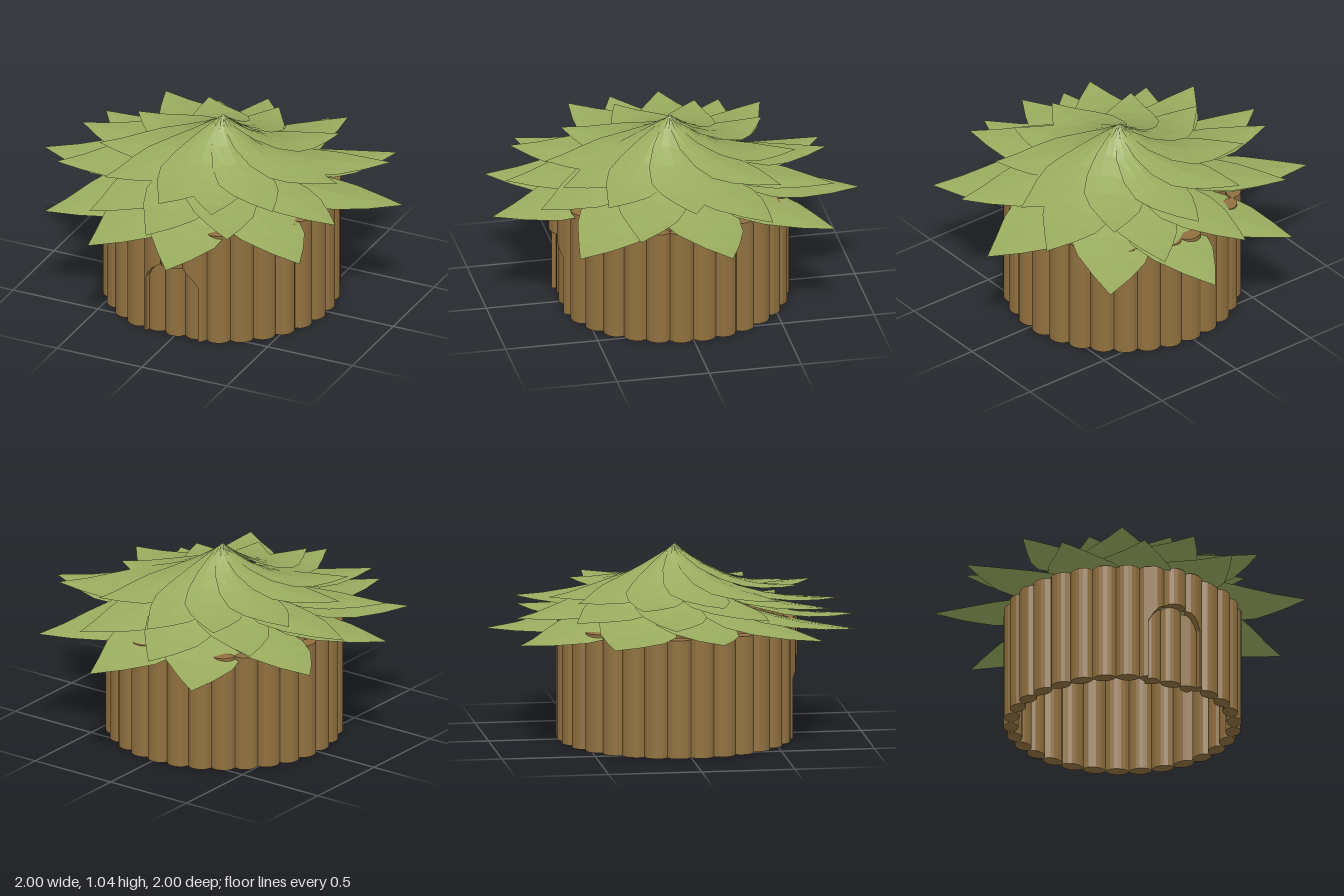
import * as THREE from 'three';

const wood = new THREE.MeshStandardMaterial({ color: 0x90703f, flatShading: true });
const leafMat = new THREE.MeshStandardMaterial({ color: 0x9aac5f, flatShading: true, side: THREE.DoubleSide });

// Wall stations run round the ring, six to each log; the door spans 7 either side of +z
const LOGS = 30, STATIONS = LOGS * 6, DOOR = 7, WALL_TOP = 0.64;

// Ring sector of upright logs: a four-cornered section swept round the wall, ends closed
function logSector(name, from, to, offset, bottom, top) {
  const pos = [], index = [];
  for (let i = from; i <= to; i++) {
    const a = i / STATIONS * Math.PI * 2;
    const bulge = 0.034 * Math.pow(Math.abs(Math.cos(a * LOGS / 2)), 0.6);
    const out = 0.6 + bulge + offset(i), inn = 0.588 - bulge + offset(i);
    const x = Math.sin(a), z = Math.cos(a);
    const lo = bottom(x * 0.63), hi = top(x * 0.63);
    pos.push(x * out, lo, z * out, x * out, hi, z * out, x * inn, hi, z * inn, x * inn, lo, z * inn);
    if (i === from) continue;
    const b = (i - from) * 4, p = b - 4;
    for (let c = 0; c < 4; c++) {
      const d = (c + 1) % 4;
      index.push(p + c, b + c, b + d, p + c, b + d, p + d);
    }
  }
  const e = (to - from) * 4;
  index.push(0, 1, 2, 0, 2, 3, e, e + 2, e + 1, e, e + 3, e + 2);
  const geo = new THREE.BufferGeometry();
  geo.setAttribute('position', new THREE.Float32BufferAttribute(pos, 3));
  geo.setIndex(index);
  geo.computeVertexNormals();
  const mesh = new THREE.Mesh(geo, wood);
  mesh.name = name;
  return mesh;
}

// Height of the doorway arch across its width
const arch = x => 0.43 - 0.11 * Math.pow(Math.min(1, Math.abs(x) / 0.155), 3);

// Half-width of a leaf from stem (0) to tip (1), as a fraction of the widest place
const OUTLINE = [[0, 0.08], [0.1, 0.3], [0.22, 0.56], [0.38, 0.85], [0.54, 1], [0.68, 0.82], [0.84, 0.43], [1, 0]];

// Folded leaf sweeping from the roof peak to its tip, one edge lifted over its neighbour
function leaf(name, [tx, tz, ty], layer) {
  const length = Math.hypot(tx, tz), tipAngle = Math.atan2(tx, tz);
  const profile = r => layer.y + layer.rise * Math.pow(Math.max(0, 1 - r / layer.reach), layer.power);
  const pos = [], index = [], cols = 5;
  OUTLINE.forEach(([u, k], row) => {
    const a = tipAngle - 0.5 * (1 - u) ** 3;
    const s = u * length;
    for (let c = 0; c < cols; c++) {
      const w = (c / (cols - 1) * 2 - 1) * k * layer.width;
      const droop = (ty - profile(length)) * u;
      const y = profile(Math.hypot(s, w)) + droop - 0.05 * Math.abs(w) - (0.03 + 0.17 * (1 - u)) * w;
      pos.push(Math.sin(a) * s + Math.cos(a) * w, y, Math.cos(a) * s - Math.sin(a) * w);
      if (row && c) {
        const d = row * cols + c, b = d - cols;
        index.push(b - 1, d - 1, d, b - 1, d, b);
      }
    }
  });
  const geo = new THREE.BufferGeometry();
  geo.setAttribute('position', new THREE.Float32BufferAttribute(pos, 3));
  geo.setIndex(index);
  geo.computeVertexNormals();
  const mesh = new THREE.Mesh(geo, leafMat);
  mesh.name = name;
  return mesh;
}

// Leaf layers: tips as x, z, height
const LAYERS = [
  { name: 'lowerLeaf', y: 0.635, rise: 0.28, reach: 1, power: 2.2, width: 0.22, tips: [
    [0.14, -1, 0.585], [0.66, -0.76, 0.61], [1, -0.13, 0.665], [0.76, 0.65, 0.625], [0.14, 1, 0.61],
    [-0.35, 0.94, 0.62], [-0.72, 0.7, 0.63], [-1, 0.12, 0.68], [-0.91, -0.45, 0.65], [-0.46, -0.9, 0.6]] },
  { name: 'middleLeaf', y: 0.735, rise: 0.26, reach: 0.89, power: 2.4, width: 0.19, tips: [
    [0.34, -0.82, 0.72], [0.8, -0.39, 0.755], [0.82, 0.33, 0.72], [0.4, 0.79, 0.755], [-0.03, 0.89, 0.73],
    [-0.41, 0.79, 0.745], [-0.8, 0.39, 0.765], [-0.89, -0.12, 0.74], [-0.64, -0.62, 0.75], [-0.16, -0.88, 0.69]] },
  { name: 'upperLeaf', y: 0.795, rise: 0.25, reach: 0.67, power: 2.4, width: 0.16, tips: [
    [0.44, -0.51, 0.79], [0.67, 0, 0.78], [0.5, 0.44, 0.78], [0.23, 0.63, 0.79], [-0.06, 0.67, 0.81],
    [-0.46, 0.5, 0.8], [-0.65, 0.17, 0.81], [-0.63, -0.26, 0.8], [-0.36, -0.57, 0.8], [0, -0.68, 0.77]] }
];

export function createModel() {
  const model = new THREE.Group();
  model.name = 'leafRoofHut';

  // Log wall with an arched, recessed door and a lintel swelling over it
  const wall = new THREE.Group();
  wall.name = 'logWall';
  const ground = () => 0, top = () => WALL_TOP;
  wall.add(
    logSector('wallRing', DOOR, STATIONS - DOOR, () => 0, ground, top),
    logSector('doorLintel', -DOOR, DOOR, i => 0.025 * (1 - (i / DOOR) ** 2), arch, top),
    logSector('door', -DOOR, DOOR, () => -0.028, ground, arch)
  );
  wall.position.set(-0.01, 0, 0);
  model.add(wall);

  // Roof of overlapping leaves
  const roof = new THREE.Group();
  roof.name = 'leafRoof';
  for (const layer of LAYERS) layer.tips.forEach((tip, i) => roof.add(leaf(layer.name + (i + 1), tip, layer)));
  model.add(roof);
  return model;
}
